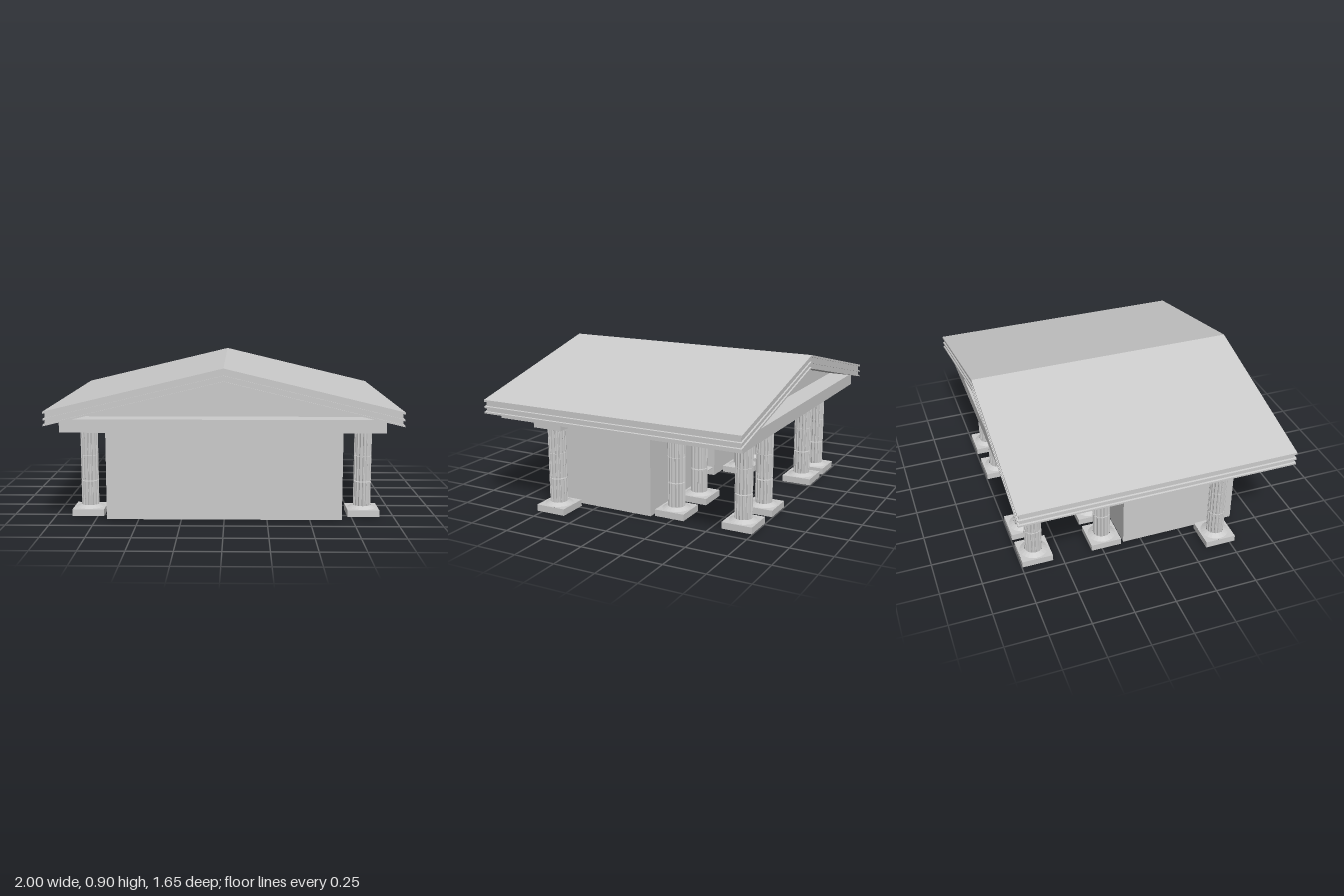
import * as THREE from 'three';

const material = new THREE.MeshStandardMaterial({ color: 0xcccccc, flatShading: true, side: THREE.DoubleSide });

function add(parent, name, geometry, x = 0, y = 0, z = 0) {
  const mesh = new THREE.Mesh(geometry, material);
  mesh.name = name;
  mesh.position.set(x, y, z);
  parent.add(mesh);
  return mesh;
}

// Box given by its limits on each axis
function block(parent, name, [x0, x1], [y0, y1], [z0, z1]) {
  return add(parent, name, new THREE.BoxGeometry(x1 - x0, y1 - y0, z1 - z0),
    (x0 + x1) / 2, (y0 + y1) / 2, (z0 + z1) / 2);
}

function extrude(points, depth) {
  const shape = new THREE.Shape(points.map(([x, y]) => new THREE.Vector2(x, y)));
  return new THREE.ExtrudeGeometry(shape, { depth, bevelEnabled: false });
}

// Square side walls of a plinth or abacus
function squareWalls(height) {
  return new THREE.CylinderGeometry(0.133, 0.133, height, 4, 1, true).rotateY(Math.PI / 4);
}

// Square plate with a round hole, lying flat
function squareRing() {
  const h = 0.094;
  const shape = new THREE.Shape([[-h, -h], [h, -h], [h, h], [-h, h]].map(([x, y]) => new THREE.Vector2(x, y)));
  shape.holes.push(new THREE.Path().absarc(0, 0, 0.084, 0, Math.PI * 2, true));
  return new THREE.ShapeGeometry(shape, 5).rotateX(-Math.PI / 2);
}

// Upright drum with flat ridges between its flutes
function drumGeometry(height, flutes = 16) {
  const points = [];
  for (let i = 0; i < flutes; i++) {
    for (const [step, r] of [[0, 0.052], [0.2, 0.052], [0.4, 0.047], [0.8, 0.047]]) {
      const a = ((i + step - 0.1) / flutes) * Math.PI * 2;
      points.push([Math.cos(a) * r, Math.sin(a) * r]);
    }
  }
  return extrude(points, height).rotateX(-Math.PI / 2);
}

const plinth = squareWalls(0.04);
const abacus = squareWalls(0.03);
const ring = squareRing();
const baseMoulding = new THREE.CylinderGeometry(0.053, 0.084, 0.015, 20, 1, true);
const capitalMoulding = new THREE.CylinderGeometry(0.084, 0.053, 0.015, 20, 1, true);
const drum = drumGeometry(0.15);

function column(x, z) {
  const group = new THREE.Group();
  group.name = 'column';
  group.position.set(x, 0, z);
  add(group, 'plinth', plinth, 0, 0.02);
  add(group, 'plinthTop', ring, 0, 0.04);
  add(group, 'baseMoulding', baseMoulding, 0, 0.0475);
  for (const y of [0.048, 0.204, 0.356]) add(group, 'shaftDrum', drum, 0, y);
  add(group, 'capitalMoulding', capitalMoulding, 0, 0.5075);
  add(group, 'abacusUnderside', ring, 0, 0.515);
  add(group, 'abacus', abacus, 0, 0.53);
  return group;
}

// Gable-shaped layer between two depths below the roof surface
function chevron(top, bottom, inset) {
  const w = 1 - inset, d = 0.823 - inset;
  const edge = 0.665 + 0.24 * inset;
  return extrude([
    [-w, edge - bottom], [0, 0.905 - bottom], [w, edge - bottom],
    [w, edge - top], [0, 0.905 - top], [-w, edge - top],
  ], 2 * d).translate(0, 0, -d);
}

// Rectangle with a round-arched top, used for the doorway
function archPath(path, x, radius, spring) {
  path.moveTo(x - radius, 0);
  path.lineTo(x - radius, spring);
  path.absarc(x, spring, radius, Math.PI, 0, true);
  path.lineTo(x + radius, 0);
  return path;
}

export function createModel() {
  const model = new THREE.Group();
  model.name = 'temple';

  // Columns: two rows of four in the porch, and one on each flank
  const columns = new THREE.Group();
  columns.name = 'columns';
  for (const z of [-0.222, -0.652]) {
    for (const x of [-0.605, -0.355, 0.28, 0.575]) columns.add(column(x, z));
  }
  for (const x of [-0.808, 0.822]) columns.add(column(x, 0.44));
  model.add(columns);

  // Chamber: thin walls, a raised inset floor and an arched doorway to the porch
  const chamber = new THREE.Group();
  chamber.name = 'chamber';
  const X = [-0.687, 0.687], Y = [0, 0.54], Z = [-0.11, 0.607], t = 0.008;
  block(chamber, 'frontWall', X, Y, [Z[1] - t, Z[1]]);
  block(chamber, 'sideWall', [X[0], X[0] + t], Y, [Z[0] + t, Z[1] - t]);
  block(chamber, 'sideWall', [X[1] - t, X[1]], Y, [Z[0] + t, Z[1] - t]);
  block(chamber, 'floor', [-0.58, 0.59], [0.05, 0.055], [Z[0] + t, 0.57]);

  const wall = new THREE.Shape();
  wall.moveTo(X[0], 0);
  const door = archPath(new THREE.Path(), 0, 0.165, 0.22).getPoints(16);
  for (const p of door) wall.lineTo(p.x, p.y);
  wall.lineTo(X[1], 0);
  wall.lineTo(X[1], Y[1]);
  wall.lineTo(X[0], Y[1]);
  add(chamber, 'doorWall', new THREE.ExtrudeGeometry(wall, { depth: t, bevelEnabled: false }), 0, 0, Z[0]);

  // Doorway recess: its reveal is a band along the arch, closed by a door panel
  const recess = 0.1;
  const reveal = new THREE.PlaneGeometry(1, recess, door.length - 1, 1);
  const pos = reveal.attributes.position;
  for (let i = 0; i < pos.count; i++) {
    const p = door[i % door.length];
    pos.setXYZ(i, p.x, p.y, i < door.length ? 0 : recess);
  }
  reveal.computeVertexNormals();
  add(chamber, 'doorReveal', reveal, 0, 0, Z[0]);
  add(chamber, 'doorPanel', new THREE.ShapeGeometry(new THREE.Shape(door)), 0, 0, Z[0] + recess);
  model.add(chamber);

  // Entablature with the recessed gable walls above it
  block(model, 'entablature', [-0.92, 0.907], [0.54, 0.615], [-0.787, 0.775]);
  add(model, 'gableWalls', extrude([[-0.88, 0.615], [0.88, 0.615], [0, 0.826]], 1.3), 0, 0, -0.65);

  // Roof: stacked sloping layers, alternately full and set back
  const roof = new THREE.Group();
  roof.name = 'roof';
  const depths = [0, 0.012, 0.04, 0.05, 0.072, 0.082];
  for (let i = 0; i < depths.length - 1; i++) {
    add(roof, 'roofLayer', chevron(depths[i], depths[i + 1], i % 2 ? 0.01 : 0));
  }
  model.add(roof);

  return model;
}
